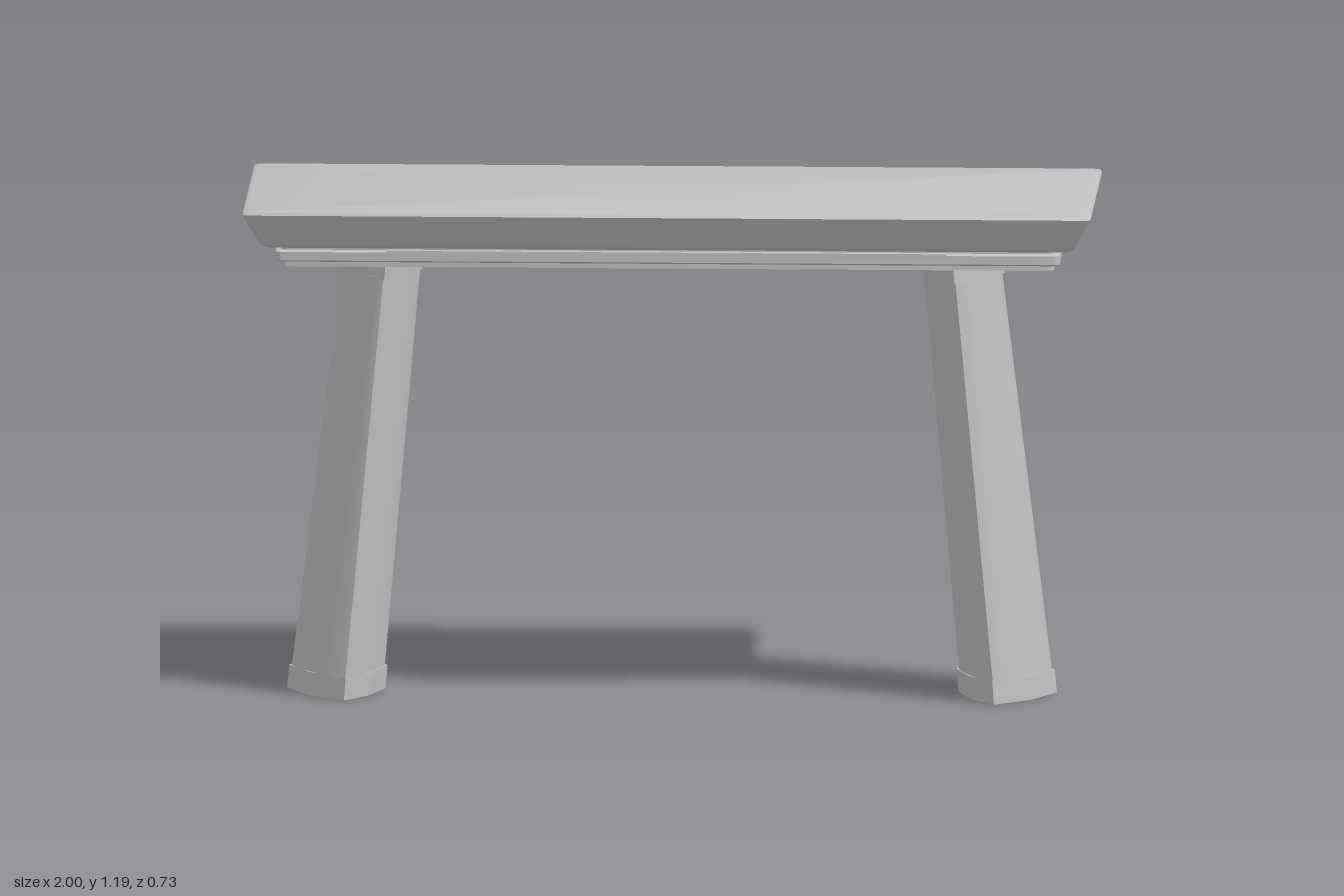
import * as THREE from 'three';
import { toCreasedNormals } from 'three/addons/utils/BufferGeometryUtils.js';

// Skin a stack of equal-length rings (bottom to top, counterclockwise from above) and cap both ends.
function loft(rings, crease) {
  const n = rings[0].length, pos = [], idx = [];
  rings.forEach(r => r.forEach(p => pos.push(...p)));
  for (let k = 0; k < rings.length - 1; k++) {
    for (let j = 0; j < n; j++) {
      const a = k * n + j, b = k * n + (j + 1) % n;
      idx.push(a, b, b + n, a, b + n, a + n);
    }
  }
  [rings[0], rings[rings.length - 1]].forEach((r, top) => {
    const c = pos.length / 3, base = top ? (rings.length - 1) * n : 0;
    pos.push(...[0, 1, 2].map(i => r.reduce((s, p) => s + p[i], 0) / n));
    for (let j = 0; j < n; j++) {
      const a = base + j, b = base + (j + 1) % n;
      idx.push(c, ...(top ? [a, b] : [b, a]));
    }
  });
  const g = new THREE.BufferGeometry();
  g.setAttribute('position', new THREE.Float32BufferAttribute(pos, 3));
  g.setIndex(idx);
  return toCreasedNormals(g, crease);
}

// Rounded rectangle ring with half sizes w and d at height y
function rectRing(w, d, y, r = 0.015) {
  const ring = [];
  [[1, -1], [-1, -1], [-1, 1], [1, 1]].forEach(([sx, sz], q) => {
    for (let i = 0; i <= 4; i++) {
      const t = (q + i / 4) * Math.PI / 2;
      ring.push([sx * (w - r) + r * Math.cos(t), y, sz * (d - r) - r * Math.sin(t)]);
    }
  });
  return ring;
}

// Lens-shaped leg section: inner ridge, outer bulge, tips at +/-depth
function lensRing(inner, tip, outer, depth, y, steps = 2) {
  const ring = [];
  for (let i = 0; i < steps * 4; i++) {
    const t = i / (steps * 4) * Math.PI * 2;
    const side = Math.cos(t), reach = side > 0 ? outer - tip : inner - tip;
    const bend = Math.abs(side) ** 1.4;
    const z = Math.abs(Math.sin(t)) ** 1.5 * Math.sign(Math.sin(t));
    ring.push([tip + reach * bend, y, -depth * z]);
  }
  return ring;
}

export function createModel() {
  const model = new THREE.Group();
  const grey = new THREE.MeshStandardMaterial({ color: 0xc0c0c0 });
  grey.name = 'plain grey';
  const add = (parent, name, geometry) => {
    const m = new THREE.Mesh(geometry, grey);
    m.name = name;
    parent.add(m);
    return m;
  };

  // Top slab with sloping, softly rounded sides
  const slab = [[0.945, 0.31, 1.1], [0.953, 0.319, 1.103], [0.96, 0.327, 1.11], [0.995, 0.36, 1.175],
    [1, 0.365, 1.185], [0.997, 0.362, 1.19], [0.99, 0.355, 1.192]];
  add(model, 'tabletop', loft(slab.map(p => rectRing(...p)), 0.7));

  // Apron plate and its projecting rim
  add(model, 'apron', loft([1.05, 1.1].map(y => rectRing(0.91, 0.274, y)), 0.7));
  const rim = [[0.917, 0.279, 1.062], [0.924, 0.286, 1.066], [0.924, 0.286, 1.086], [0.917, 0.279, 1.09]];
  add(model, 'apronRim', loft(rim.map(p => rectRing(...p)), 0.7));

  // Slim rails along both long sides
  for (const s of [1, -1]) {
    add(model, 'sideRail', new THREE.BoxGeometry(1.32, 0.012, 0.02)).position.set(0, 1.095, s * 0.343);
  }

  // Splayed legs, each with a smooth shaft between a faceted foot and collar
  for (const s of [1, -1]) {
    const leg = new THREE.Group();
    leg.name = s > 0 ? 'leftLeg' : 'rightLeg';
    add(leg, 'foot', loft([lensRing(0.675, 0.766, 0.907, 0.186, 0), lensRing(0.67, 0.762, 0.902, 0.184, 0.055)], 0.1));
    add(leg, 'shaft', loft([lensRing(0.677, 0.763, 0.896, 0.179, 0.05, 6), lensRing(0.593, 0.674, 0.778, 0.16, 1.005, 6)], 0.9));
    add(leg, 'collar', loft([lensRing(0.588, 0.672, 0.784, 0.167, 1), lensRing(0.583, 0.668, 0.779, 0.165, 1.052)], 0.1));
    if (s < 0) leg.rotation.y = Math.PI;
    model.add(leg);
  }
  return model;
}
